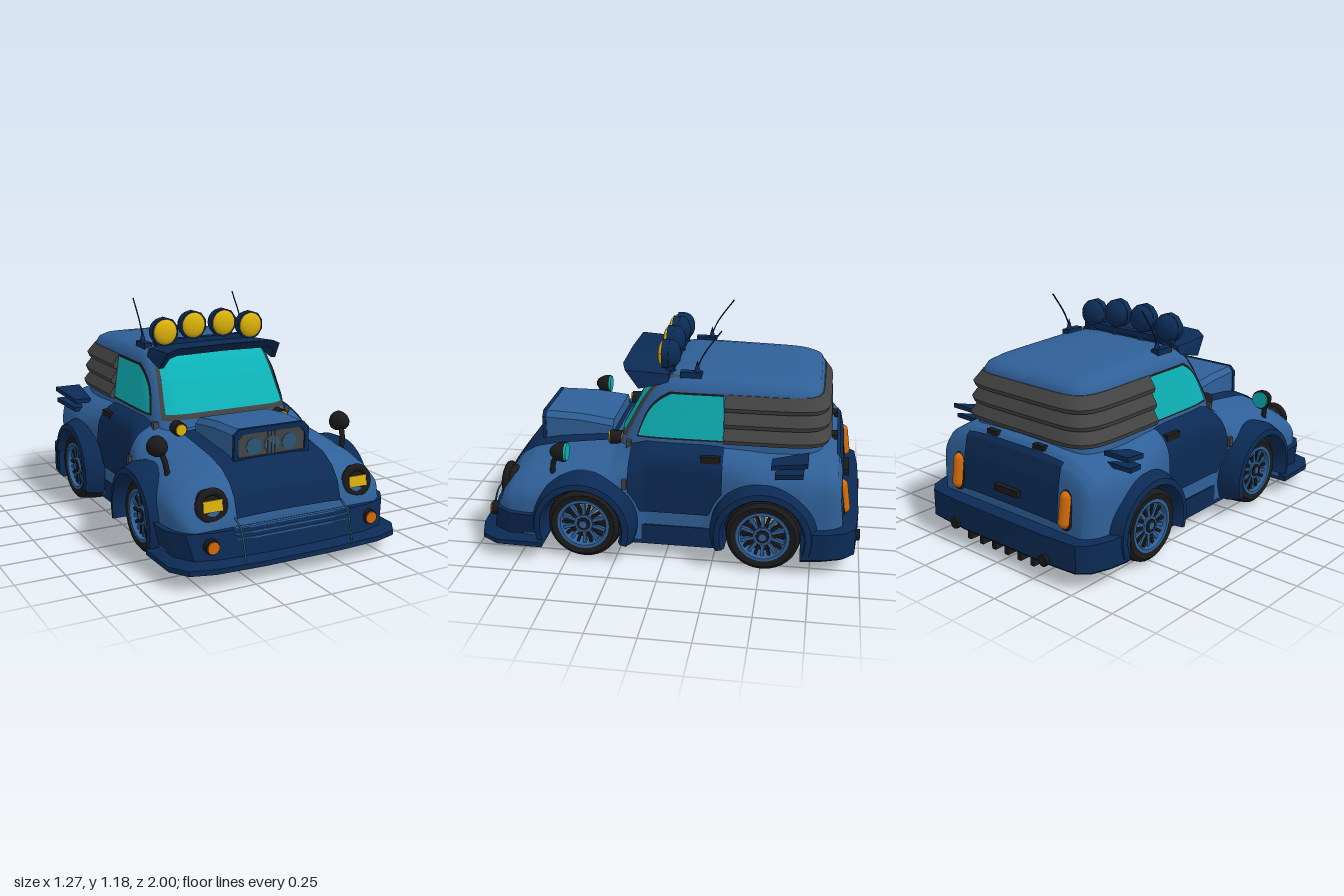
import * as THREE from 'three';
import { toCreasedNormals } from 'three/addons/utils/BufferGeometryUtils.js';

const mat = (name, color) => new THREE.MeshStandardMaterial({ name, color, side: THREE.DoubleSide });
const M = {
  blue: mat('body blue', 0x2f6098), navy: mat('dark blue', 0x0b2a54), glass: mat('teal glass', 0x0cb3b8),
  yellow: mat('lamp yellow', 0xdcb20a), orange: mat('signal orange', 0xd56b08), grey: mat('dark grey', 0x434343),
  black: mat('black', 0x1a1a1a), metal: mat('light metal', 0xa0a0a0), steel: mat('steel blue', 0x2a5878),
};

// Linear interpolation in a key table sorted by its first column
function keyed(keys, t) {
  let i = 1;
  while (i < keys.length - 1 && t > keys[i][0]) i++;
  const a = keys[i - 1], b = keys[i];
  const f = THREE.MathUtils.clamp((t - a[0]) / (b[0] - a[0]), 0, 1);
  return a.map((v, k) => v + (b[k] - v) * f);
}
const spow = (v, p) => Math.sign(v) * Math.abs(v) ** p;
const round = (r, n) => Math.max(0, 1 - Math.min(1, Math.abs(r)) ** n) ** (1 / n);

// Closed solid through equal-length rings, both ends capped
function loft(rings, crease = 0.8) {
  const n = rings[0].length, pos = [], idx = [];
  rings.forEach(r => r.forEach(p => pos.push(...p)));
  for (let i = 0; i < rings.length - 1; i++) for (let j = 0; j < n; j++) {
    const a = i * n + j, b = i * n + (j + 1) % n;
    idx.push(a, b, b + n, a, b + n, a + n);
  }
  [0, rings.length - 1].forEach(i => {
    const c = pos.length / 3;
    pos.push(...[0, 1, 2].map(k => rings[i].reduce((s, p) => s + p[k], 0) / n));
    for (let j = 0; j < n; j++) {
      const a = i * n + j, b = i * n + (j + 1) % n;
      idx.push(...(i ? [a, b, c] : [b, a, c]));
    }
  });
  const v = k => new THREE.Vector3().fromArray(pos, idx[k] * 3);
  let vol = 0;
  for (let k = 0; k < idx.length; k += 3) vol += v(k).dot(v(k + 1).cross(v(k + 2)));
  if (vol < 0) idx.reverse();
  const g = new THREE.BufferGeometry();
  g.setAttribute('position', new THREE.Float32BufferAttribute(pos, 3));
  g.setIndex(idx);
  return toCreasedNormals(g, crease);
}
// Thin surface patch from a function of u, v in 0..1
function patch(fn, nu = 20, nv = 20) {
  const g = new THREE.PlaneGeometry(1, 1, nu, nv), p = g.attributes.position, uv = g.attributes.uv;
  for (let i = 0; i < p.count; i++) p.setXYZ(i, ...fn(uv.getX(i), uv.getY(i)));
  g.computeVertexNormals();
  return g;
}

// Lower body: z, half width, shoulder height, top height, squareness
const HULL = [
  [-0.905, 0.47, 0.20, 0.28, 4], [-0.89, 0.49, 0.33, 0.46, 4], [-0.87, 0.51, 0.36, 0.56, 3.6], [-0.83, 0.53, 0.37, 0.61, 3.2],
  [-0.7, 0.555, 0.36, 0.63, 3], [-0.5, 0.56, 0.35, 0.635, 2.9], [-0.3, 0.51, 0.36, 0.64, 3.8], [-0.2, 0.495, 0.38, 0.64, 4.5],
  [0.1, 0.495, 0.38, 0.64, 4.5], [0.2, 0.53, 0.35, 0.615, 3.2], [0.28, 0.56, 0.33, 0.57, 2.8], [0.42, 0.585, 0.31, 0.555, 2.6],
  [0.6, 0.59, 0.3, 0.533, 2.5], [0.72, 0.585, 0.29, 0.505, 2.4], [0.8, 0.57, 0.28, 0.455, 2.4], [0.85, 0.54, 0.26, 0.39, 2.4],
  [0.88, 0.5, 0.24, 0.29, 2.4]];
const AXLES = [0.41, -0.51], WHEEL_Y = 0.2;
const hullTop = (x, z) => { const [, w, s, t, n] = keyed(HULL, z); return s + (t - s) * round(x / w, n); };
const hullSide = (z, y) => { const [, w, s, t, n] = keyed(HULL, z); return y < s ? w : w * round((y - s) / (t - s), n); };
const archY = (z, r, low) => AXLES.reduce((y, a) => Math.abs(z - a) < r ? WHEEL_Y + Math.sqrt(r * r - (z - a) ** 2) : y, low);
function hullRing(z) {
  const [, w, s, t, n] = keyed(HULL, z), yb = archY(z, 0.21, 0.1), wb = hullSide(z, yb), ring = [[-wb, yb, z], [wb, yb, z]];
  for (let i = 0; i <= 40; i++) {
    const a = Math.PI * i / 40, x = w * spow(Math.cos(a), 2 / n), y = s + (t - s) * Math.abs(Math.sin(a)) ** (2 / n);
    ring.push([THREE.MathUtils.clamp(x, -wb, wb), Math.max(y, yb), z]);
  }
  return ring;
}

// Cabin: height, half width, front z, rear z
const CABIN = [[0.5, 0.42, 0.29, -0.8], [0.63, 0.41, 0.25, -0.795], [0.8, 0.387, 0.155, -0.785], [0.88, 0.376, 0.095, -0.775],
  [0.92, 0.358, 0.05, -0.76], [0.945, 0.325, 0, -0.72], [0.958, 0.265, -0.07, -0.62], [0.964, 0.12, -0.2, -0.42], [0.965, 0.01, -0.28, -0.3]];
const MID = -0.29, SQ = 7;
const cabinPoint = (y, a, off = 0) => {
  const [, w, f, r] = keyed(CABIN, y), s = Math.sin(a);
  const z = MID + spow(s, 2 / SQ) * (s > 0 ? f - MID + off : MID - r + off);
  return [(w + off) * spow(Math.cos(a), 2 / SQ), y - 0.3 * Math.max(0, -z) * Math.max(0, y - 0.86), z];
};
const cabinFront = (x, y) => { const [, w, f] = keyed(CABIN, y); return MID + (f - MID) * round(x / w, SQ); };
const cabinSide = (z, y) => { const [, w, f] = keyed(CABIN, y); return w * round((z - MID) / (f - MID), SQ); };

export function createModel() {
  const car = new THREE.Group();
  car.name = 'car';
  const add = (name, geo, m, x = 0, y = 0, z = 0, parent = car) => {
    const mesh = new THREE.Mesh(geo, m);
    mesh.name = name;
    mesh.position.set(x, y, z);
    parent.add(mesh);
    return mesh;
  };
  const box = (w, h, d) => new THREE.BoxGeometry(w, h, d);
  const disc = (r, d, n = 20) => new THREE.CylinderGeometry(r, r, d, n).rotateX(Math.PI / 2);
  const tube = (pts, r) => new THREE.TubeGeometry(new THREE.CatmullRomCurve3(pts.map(p => new THREE.Vector3(...p))), 12, r, 6);
  const sides = fn => [1, -1].forEach(fn);

  // Body shell with open wheel arches
  const zs = HULL.map(k => k[0]);
  for (let z = -0.9; z < 0.88; z += 0.02) zs.push(z);
  AXLES.forEach(a => sides(s => zs.push(a + s * 0.2099, a + s * 0.2101, a + s * 0.206)));
  add('bodyShell', loft(zs.sort((a, b) => a - b).map(hullRing)), M.blue);
  add('bonnetPanel', patch((u, v) => {
    const x = (u - 0.5) * 0.58, z = 0.29 + v * 0.59;
    return [x, hullTop(x, z) + 0.006, z + 0.006];
  }, 16, 60), M.navy);
  add('bootPanel', patch((u, v) => {
    const x = (u - 0.5) * 0.66, z = -0.85 - v * 0.055;
    return [x, hullTop(x, z) + 0.004, z - 0.006];
  }, 12, 30), M.navy);
  add('bootHandle', box(0.16, 0.035, 0.03), M.black, 0, 0.36, -0.915);

  // Cabin and roof
  const full = Array.from({ length: 96 }, (_, i) => i / 96 * Math.PI * 2);
  add('cabin', loft(CABIN.map(([y]) => full.map(a => cabinPoint(y, a)))), M.blue);
  const screen = (y0, y1, w, off) => patch((u, v) => {
    const y = y0 + (y1 - y0) * v, x = (u * 2 - 1) * (w - (y - 0.64) * 0.12);
    return [x, y + off, cabinFront(x, y) + off];
  });
  add('windscreenTrim', screen(0.61, 0.94, 0.362, 0.003), M.grey);
  add('windscreen', screen(0.635, 0.932, 0.345, 0.007), M.glass);
  sides(s => {
    const pane = (g, off) => patch((u, v) => {
      const y = 0.64 - g + (0.225 + 2 * g) * v, zf = 0.15 + g - 0.08 * v - 0.09 * v ** 4, z = zf + (-0.285 - zf) * u;
      return [s * (cabinSide(z, y) + off), y, z];
    });
    add('sideWindowTrim', pane(0.01, 0.003), M.black);
    add('sideWindow', pane(0, 0.007), M.glass);
  });
  // Flared bands wrapping round the rear of the cabin
  for (let k = 0; k < 3; k++) {
    const y = 0.875 - k * 0.082, rows = [[y, 0.004], [y - 0.06, 0.034], [y - 0.082, 0.024], [y - 0.082, -0.01], [y, -0.01]];
    const half = Array.from({ length: 61 }, (_, i) => -Math.PI * i / 60);
    add('rearBand', loft(half.map(a => rows.map(([h, o]) => [...cabinPoint(h, a, o)])), 0.6), M.grey);
  }

  // Doors, arches, sills and other side parts
  sides(s => {
    add('door', patch((u, v) => {
      const z = 0.185 - u * 0.48, y0 = Math.max(archY(z, 0.285, 0.26), 0.26), y = y0 + (0.62 - y0) * v;
      return [s * (hullSide(z, y) + 0.008), y, z];
    }, 40, 24), M.navy);
    add('doorHandle', box(0.03, 0.035, 0.1), M.black, s * 0.475, 0.56, -0.23);
    [0.42, 0.58].forEach(y => add('doorHinge', box(0.03, 0.05, 0.025), M.grey, s * (hullSide(0.2, y) + 0.005), y, 0.2));
    add('sill', box(0.08, 0.11, 0.52), M.navy, s * 0.462, 0.13, -0.05);
    AXLES.forEach((zc, k) => {
      const out = k ? 0 : 0.025, prof = [[0.45, 0.2], [0.585, 0.2], [0.61, 0.215], [0.605, 0.245], [0.54, 0.272], [0.45, 0.272]];
      const rings = Array.from({ length: 33 }, (_, i) => {
        const a = -0.35 + (Math.PI + 0.7) * i / 32;
        return prof.map(([x, r]) => [s * (x + out), WHEEL_Y + r * Math.sin(a), zc + r * Math.cos(a)]);
      });
      add('wheelArch', loft(rings), M.navy);
    });
    // Small swept fins behind the cabin
    [[0.59, 0.18], [0.535, 0.14]].forEach(([y, d]) => {
      const fin = [[0.46, d / 2], [0.55, d / 2], [0.605, -d / 2], [0.46, -d / 2]];
      add('sideFin', loft([-0.012, 0.012].map(h => fin.map(([x, z]) => [s * x, y + h - z * 0.25, z - 0.63])), 0.3), M.navy);
    });
    // Mirror
    add('mirrorStem', tube([[s * 0.5, 0.44, 0.58], [s * 0.51, 0.51, 0.57], [s * 0.52, 0.56, 0.54]], 0.014), M.black);
    const shell = new THREE.SphereGeometry(0.052, 16, 8, 0, Math.PI * 2, 0, Math.PI / 2).rotateX(Math.PI / 2).scale(1, 1, 1.6);
    add('mirrorShell', shell, M.black, s * 0.525, 0.575, 0.5);
    add('mirrorGlass', disc(0.046, 0.012), M.glass, s * 0.525, 0.575, 0.497);
    // Lamps
    const head = new THREE.Group();
    head.name = 'headlight';
    head.position.set(s * 0.405, 0.355, 0.8);
    head.rotation.x = -0.12;
    car.add(head);
    add('headlightCup', disc(0.07, 0.11), M.black, 0, 0, 0, head);
    add('headlightRing', new THREE.TorusGeometry(0.066, 0.02, 8, 24), M.black, 0, 0, 0.048, head);
    add('headlightLens', box(0.1, 0.055, 0.009), M.yellow, 0, 0, 0.062, head);
    add('signalRim', disc(0.037, 0.04, 10), M.black, s * 0.44, 0.19, 0.915);
    add('signalLens', disc(0.031, 0.05, 10), M.orange, s * 0.44, 0.19, 0.917);
    add('cowlLampRim', disc(0.037, 0.06, 12), M.black, s * 0.3, 0.58, 0.285);
    add('cowlLampLens', disc(0.03, 0.07, 12), M.yellow, s * 0.3, 0.58, 0.288);
    const tail = new THREE.CapsuleGeometry(0.034, 0.12, 6, 14);
    add('tailLightRim', tail.clone().scale(1.25, 1.12, 0.7), M.black, s * 0.375, 0.36, -0.887).rotation.x = 0.14;
    add('tailLight', tail, M.orange, s * 0.375, 0.36, -0.896).rotation.x = 0.14;
    add('bootHinge', box(0.07, 0.025, 0.03), M.black, s * 0.16, 0.605, -0.842);
    // Aerials and front rods
    add('aerialBase', box(0.045, 0.05, 0.11), M.navy, s * 0.31, 0.94, -0.11);
    add('aerialCone', new THREE.ConeGeometry(0.022, 0.08, 8), M.navy, s * 0.305, 0.985, -0.14);
    add('aerial', tube([[s * 0.305, 0.96, -0.13], [s * 0.305, 1.06, -0.175], [s * 0.305, 1.18, -0.26]], 0.004), M.navy);
    add('frontRod', tube([[s * 0.295, 0.3, 0.86], [s * 0.295, 0.25, 0.94], [s * 0.295, 0.11, 0.985]], 0.005), M.steel);
    add('exhaustTip', disc(0.03, 0.1, 12), M.black, s * 0.315, 0.115, -0.95);
    add('exhaustPipe', disc(0.042, 0.9, 12), M.grey, s * 0.09, 0.1, -0.15);
  });

  // Bumpers from mirrored plan outlines
  const bumper = (name, plan, levels) => add(name, loft(levels.map(([y, dx, dz]) => {
    const half = plan.map(([x, z], i) => [x - dx, y, z - (i ? dz : 0)]);
    return [...half, ...half.map(([x, h, z]) => [-x, h, z]).reverse()];
  }), 0.5), M.navy);
  bumper('frontBumper', [[0.637, 0.62], [0.63, 0.86], [0.57, 0.95], [0.45, 0.985], [0.2, 1]],
    [[0.08, 0, 0], [0.105, 0, 0], [0.125, 0.05, 0.05], [0.25, 0.02, 0.08]]);
  bumper('rearBumper', [[0.605, -0.7], [0.59, -0.82], [0.555, -0.92], [0.5, -0.97], [0.3, -0.985]],
    [[0.08, 0.02, -0.02], [0.1, 0, 0], [0.24, 0, 0]]);
  add('chin', box(0.5, 0.035, 0.06), M.navy, 0, 0.067, 0.61);
  [0.205, 0.23, 0.255].forEach((y, i) => add('grilleBar', box(0.64, 0.008, 0.02), M.blue, 0, y, 0.924 - i * 0.006));

  // Bonnet scoop with three intakes
  const scoop = [[0.7, 0.205, 0.66, 0.49], [0.5, 0.215, 0.657, 0.5], [0.32, 0.22, 0.635, 0.5]];
  add('scoop', loft(scoop.map(([z, w, t, b]) =>
    [[w, b], [w, t - 0.03], [w - 0.025, t], [0.025 - w, t], [-w, t - 0.03], [-w, b]].map(([x, y]) => [x, y, z])), 0.5), M.blue);
  const outline = (w, b, t) => [[-w, b], [w, b], [w, t - 0.03], [w - 0.03, t], [0.03 - w, t], [-w, t - 0.03]].map(p => new THREE.Vector2(...p));
  const frame = new THREE.Shape(outline(0.21, 0.5, 0.662));
  frame.holes.push(new THREE.Path(outline(0.188, 0.52, 0.635)));
  add('scoopFrame', new THREE.ExtrudeGeometry(frame, { depth: 0.02, bevelEnabled: false }), M.navy, 0, 0, 0.69);
  add('scoopBack', box(0.37, 0.115, 0.006), M.grey, 0, 0.577, 0.702);
  [-0.1, 0, 0.1].forEach(x => add('intake', disc(0.042, 0.008), M.steel, x, 0.57, 0.704));
  [-0.02, 0, 0.02].forEach(x => add('scoopDivider', box(0.008, 0.115, 0.012), M.grey, x, 0.577, 0.704));

  // Sun visor: an arch leaning back toward its lower ends
  const edge = [[0.345, 0.87], [0.328, 0.96], [0.28, 0.982], [0, 0.987]];
  const inner = [[0.32, 0.87], [0.305, 0.925], [0.27, 0.94], [0, 0.945]];
  const mirror = pts => [...pts, ...pts.slice(0, -1).reverse().map(([x, y]) => [-x, y])];
  const visor = new THREE.Shape([...mirror(edge), ...mirror(inner).reverse()].map(p => new THREE.Vector2(...p)));
  const vg = new THREE.ExtrudeGeometry(visor, { depth: 0.25, bevelEnabled: false }), vp = vg.attributes.position;
  for (let i = 0; i < vp.count; i++) {
    const y = vp.getY(i);
    if (vp.getZ(i) > 0.1) vp.setZ(i, 0.25 - (0.987 - y) * 0.8);
    else vp.setY(i, y - Math.max(0, y - 0.94) * 0.5 + Math.max(0, 0.92 - y) * 0.8);
  }
  vg.computeVertexNormals();
  add('sunVisor', vg, M.navy);

  // Roof lamps
  add('lampBar', box(0.6, 0.03, 0.04), M.navy, 0, 0.975, 0);
  [[-0.255, 1.035], [-0.09, 1.06], [0.09, 1.06], [0.255, 1.035]].forEach(([x, y]) => {
    add('roofLampBack', new THREE.SphereGeometry(0.073, 16, 12).scale(1, 1, 0.75), M.navy, x, y, 0.005);
    add('roofLampRim', disc(0.077, 0.035, 10), M.navy, x, y, 0.025);
    add('roofLampLens', new THREE.SphereGeometry(0.067, 16, 12).scale(1, 1, 0.4), M.yellow, x, y, 0.042);
    add('roofLampStand', new THREE.CylinderGeometry(0.015, 0.025, 0.08, 8), M.navy, x, 0.965, 0);
  });

  // Wheels
  const turn = (pts, n = 32) => toCreasedNormals(new THREE.LatheGeometry(pts.map(p => new THREE.Vector2(...p)), n).rotateZ(-Math.PI / 2), 0.6);
  const tyre = turn([[0.13, -0.11], [0.165, -0.122], [0.185, -0.105], [0.193, -0.06], [0.198, 0], [0.193, 0.06], [0.185, 0.105], [0.165, 0.122], [0.135, 0.115], [0.128, 0.06], [0.13, -0.11]]);
  const rim = turn([[0.138, 0.09], [0.136, 0.119], [0.12, 0.119], [0.112, 0.09], [0.112, 0.04], [0.138, 0.04]]);
  AXLES.forEach(z => sides(s => {
    const w = new THREE.Group();
    w.name = 'wheel';
    w.position.set(s * 0.46, 0.198, z);
    w.rotation.y = s > 0 ? 0 : Math.PI;
    car.add(w);
    const axle = (name, r, d, x, m, n = 24) => add(name, new THREE.CylinderGeometry(r, r, d, n).rotateZ(Math.PI / 2), m, x, 0, 0, w);
    add('tyre', tyre, M.black, 0, 0, 0, w);
    add('rim', rim, M.blue, 0, 0, 0, w);
    axle('wheelBack', 0.13, 0.02, 0.03, M.black);
    axle('brakeDisc', 0.085, 0.02, 0.055, M.metal);
    axle('hub', 0.05, 0.06, 0.08, M.blue, 10);
    axle('hubRing', 0.036, 0.02, 0.105, M.black, 10);
    axle('hubCap', 0.02, 0.02, 0.11, M.blue, 10);
    for (let i = 0; i < 20; i++) {
      const [m, t] = i % 2 ? [M.black, 0.014] : [M.blue, 0.017];
      add('spoke', box(0.02, 0.09, t).translate(0, 0.076, 0), m, 0.09, 0, 0, w).rotation.x = i * Math.PI / 10;
    }
  }));

  // Underside
  add('floorCore', box(0.62, 0.3, 1.4), M.black, 0, 0.25, -0.05);
  add('floorPan', box(0.86, 0.04, 0.5), M.navy, 0, 0.11, -0.05);
  add('gearTunnel', box(0.34, 0.05, 0.9), M.grey, 0, 0.1, -0.12);
  add('engineTray', box(0.5, 0.04, 0.3), M.grey, 0, 0.085, 0.43);
  add('rearSilencer', box(0.54, 0.05, 0.34), M.grey, 0, 0.085, -0.75);
  for (let i = 0; i < 6; i++) add('diffuserFin', box(0.024, 0.055, 0.22), M.black, -0.225 + i * 0.09, 0.078, -0.87);
  return car;
}
